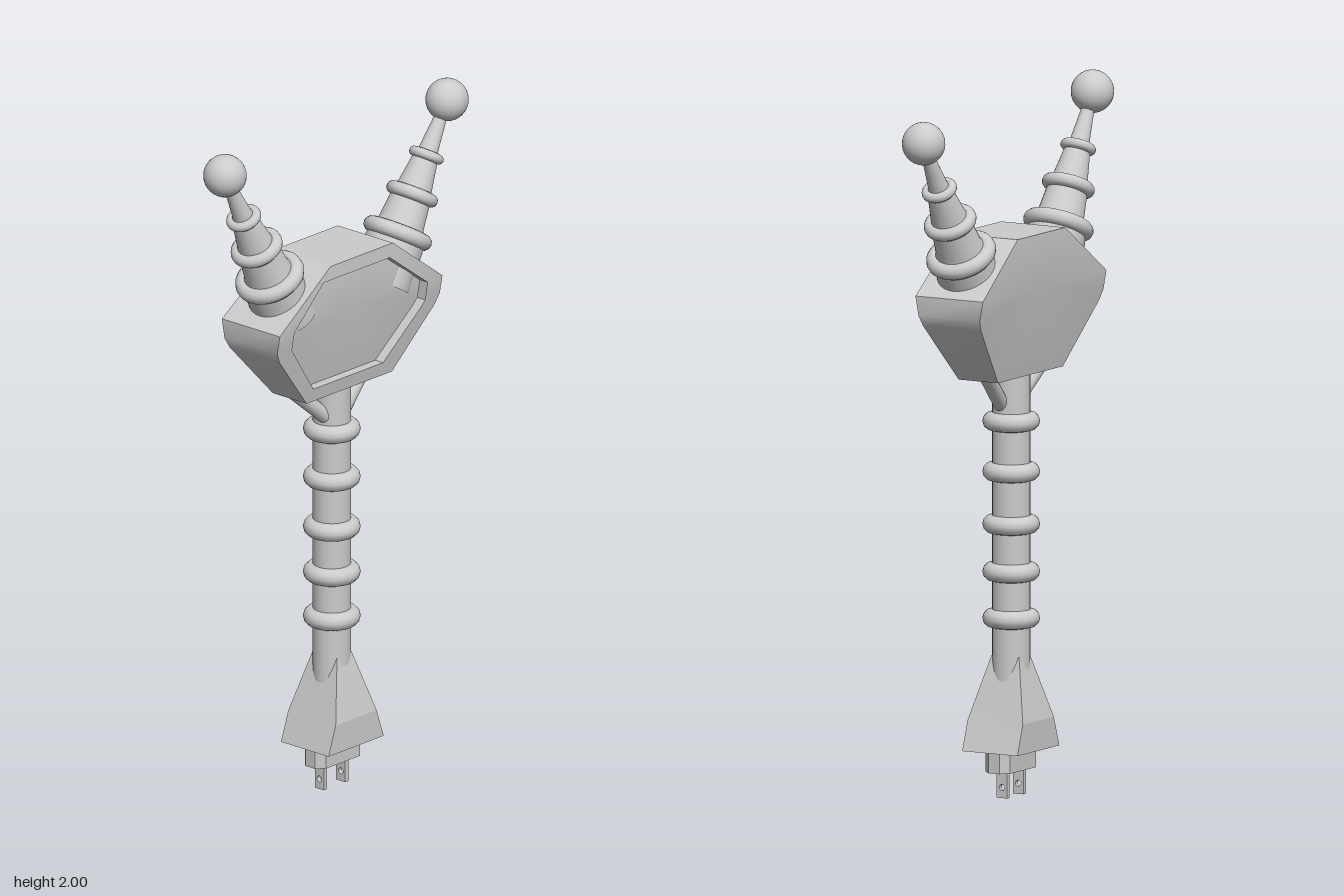
import * as THREE from 'three';
import { toCreasedNormals } from 'three/addons/utils/BufferGeometryUtils.js';

const CZ = 0.02; // the shaft axis sits slightly forward of centre
const grey = new THREE.MeshStandardMaterial({ color: 0xcccccc });
const V = (x, y, z) => new THREE.Vector3(x, y, z);

function add(parent, name, geometry, x = 0, y = 0, z = 0) {
  const mesh = new THREE.Mesh(geometry, grey);
  mesh.name = name;
  mesh.position.set(x, y, z);
  parent.add(mesh);
  return mesh;
}

// Skins a stack of equal-length point rings; caps are rings shrunk to a point.
function skin(rings, crease) {
  const pos = [];
  const tri = (a, b, c) => {
    if (a.distanceTo(b) * b.distanceTo(c) * c.distanceTo(a) < 1e-9) return;
    for (const p of [a, b, c]) pos.push(p.x, p.y, p.z);
  };
  for (let k = 0; k < rings.length - 1; k++) {
    const n = rings[k].length;
    for (let i = 0; i < n; i++) {
      const j = (i + 1) % n;
      tri(rings[k][i], rings[k + 1][i], rings[k + 1][j]);
      tri(rings[k][i], rings[k + 1][j], rings[k][j]);
    }
  }
  const g = new THREE.BufferGeometry();
  g.setAttribute('position', new THREE.Float32BufferAttribute(pos, 3));
  return toCreasedNormals(g, crease);
}

// Half thickness of the head: thick on top, thin at the bottom
function headHalfWidth(y) {
  if (y > 1.455) return 0.11 - (y - 1.455) * 0.035;
  return 0.11 - (1.455 - y) * 0.18;
}

// Eight-sided head with a shallow recess on the +x face
function headGeometry() {
  const outer = [[0.14, 1.605], [-0.12, 1.605], [-0.32, 1.455], [-0.32, 1.4], [-0.305, 1.37],
    [-0.16, 1.2], [0.195, 1.2], [0.342, 1.37], [0.357, 1.4], [0.357, 1.455]];
  const inner = [[0.17, 1.565], [-0.105, 1.565], [-0.26, 1.45], [-0.26, 1.395], [-0.245, 1.375],
    [-0.115, 1.24], [0.175, 1.24], [0.28, 1.375], [0.295, 1.395], [0.295, 1.45]];
  const ring = (pts, side, inset = 0) => pts.map(([z, y]) => V(side * headHalfWidth(y) - inset, y, z));
  const centre = outer.map(() => [CZ, 1.455]);
  return skin([
    ring(centre, -1), ring(outer, -1), ring(outer, 1),
    ring(inner, 1), ring(inner, 1, 0.03), ring(centre, 1, 0.03),
  ], 0.55);
}

// Ringed, tapering horn with a ball tip; its origin is the ball centre
function horn(name, y, z, tilt) {
  const g = new THREE.Group();
  g.name = name;
  g.position.set(0, y, z);
  g.rotation.x = tilt;
  const profile = [[0.088, -0.55], [0.085, -0.43], [0.078, -0.4], [0.066, -0.37], [0.056, -0.28],
    [0.05, -0.26], [0.035, -0.167], [0.028, -0.15], [0.016, -0.03]];
  add(g, 'hornCone', new THREE.LatheGeometry(profile.map(p => new THREE.Vector2(...p)), 32));
  for (const [r, tube, h] of [[0.078, 0.023, -0.4], [0.057, 0.019, -0.283], [0.037, 0.014, -0.167]]) {
    const ring = new THREE.TorusGeometry(r, tube, 12, 36);
    ring.rotateX(Math.PI / 2);
    add(g, 'hornRing', ring, 0, h, 0);
  }
  add(g, 'hornBall', new THREE.SphereGeometry(0.061, 32, 20));
  return g;
}

// Rounded strut between two points
function strut(parent, a, b) {
  const dir = b.clone().sub(a);
  const mid = a.clone().add(b).multiplyScalar(0.5);
  const m = add(parent, 'strut', new THREE.CapsuleGeometry(0.022, dir.length(), 6, 14), mid.x, mid.y, mid.z);
  m.quaternion.setFromUnitVectors(V(0, 1, 0), dir.normalize());
}

// Flared rectangular plug body from three levels
function plugGeometry() {
  const level = (y, hx, hz) => [V(-hx, y, -hz), V(-hx, y, hz), V(hx, y, hz), V(hx, y, -hz)];
  return skin([
    level(0.135, 0, 0), level(0.135, 0.09, 0.115), level(0.22, 0.09, 0.085),
    level(0.4, 0.045, 0.03), level(0.4, 0, 0),
  ].map(r => r.reverse()), 0.1);
}

// Block with chamfered corners below the plug
function collarGeometry() {
  const x = 0.04, z = 0.093, c = 0.022;
  const shape = new THREE.Shape([[x, z - c], [x - c, z], [c - x, z], [-x, z - c],
    [-x, c - z], [c - x, -z], [x - c, -z], [x, c - z]].map(p => new THREE.Vector2(...p)));
  const g = new THREE.ExtrudeGeometry(shape, { depth: 0.07, bevelEnabled: false });
  return g.rotateX(-Math.PI / 2);
}

// Flat blade with a round hole near the tip
function prongGeometry() {
  const w = 0.017;
  const shape = new THREE.Shape();
  shape.moveTo(-w, 0).lineTo(w, 0).lineTo(w, 0.09).lineTo(-w, 0.09).closePath();
  const hole = new THREE.Path();
  hole.absarc(0, 0.03, 0.009, 0, Math.PI * 2, true);
  shape.holes.push(hole);
  return new THREE.ExtrudeGeometry(shape, { depth: 0.014, bevelEnabled: false, curveSegments: 8 })
    .translate(0, 0, -0.007);
}

export function createModel() {
  const model = new THREE.Group();
  model.name = 'pluggedStaff';

  add(model, 'head', headGeometry());
  model.add(horn('frontHorn', 1.939, 0.465, 0.485));
  model.add(horn('backHorn', 1.915, -0.46, -0.54));

  // Shaft with its rings
  add(model, 'shaft', new THREE.CylinderGeometry(0.054, 0.054, 0.9, 24), 0, 0.77, CZ);
  for (const y of [0.505, 0.637, 0.772, 0.921, 1.064]) {
    const ring = new THREE.TorusGeometry(0.055, 0.026, 12, 36);
    ring.rotateX(Math.PI / 2);
    add(model, 'shaftRing', ring, 0, y, CZ);
  }

  // Struts bracing the head
  for (const s of [1, -1]) {
    strut(model, V(0.008, 1.115, CZ + s * 0.04), V(-0.012, 1.225, CZ + s * 0.165));
  }

  // Plug end
  add(model, 'plugBody', plugGeometry(), 0, 0, 0.0175);
  add(model, 'plugCollar', collarGeometry(), 0, 0.075, 0.0175);
  for (const z of [0.065, -0.024]) add(model, 'prong', prongGeometry(), 0, 0, z);

  return model;
}
